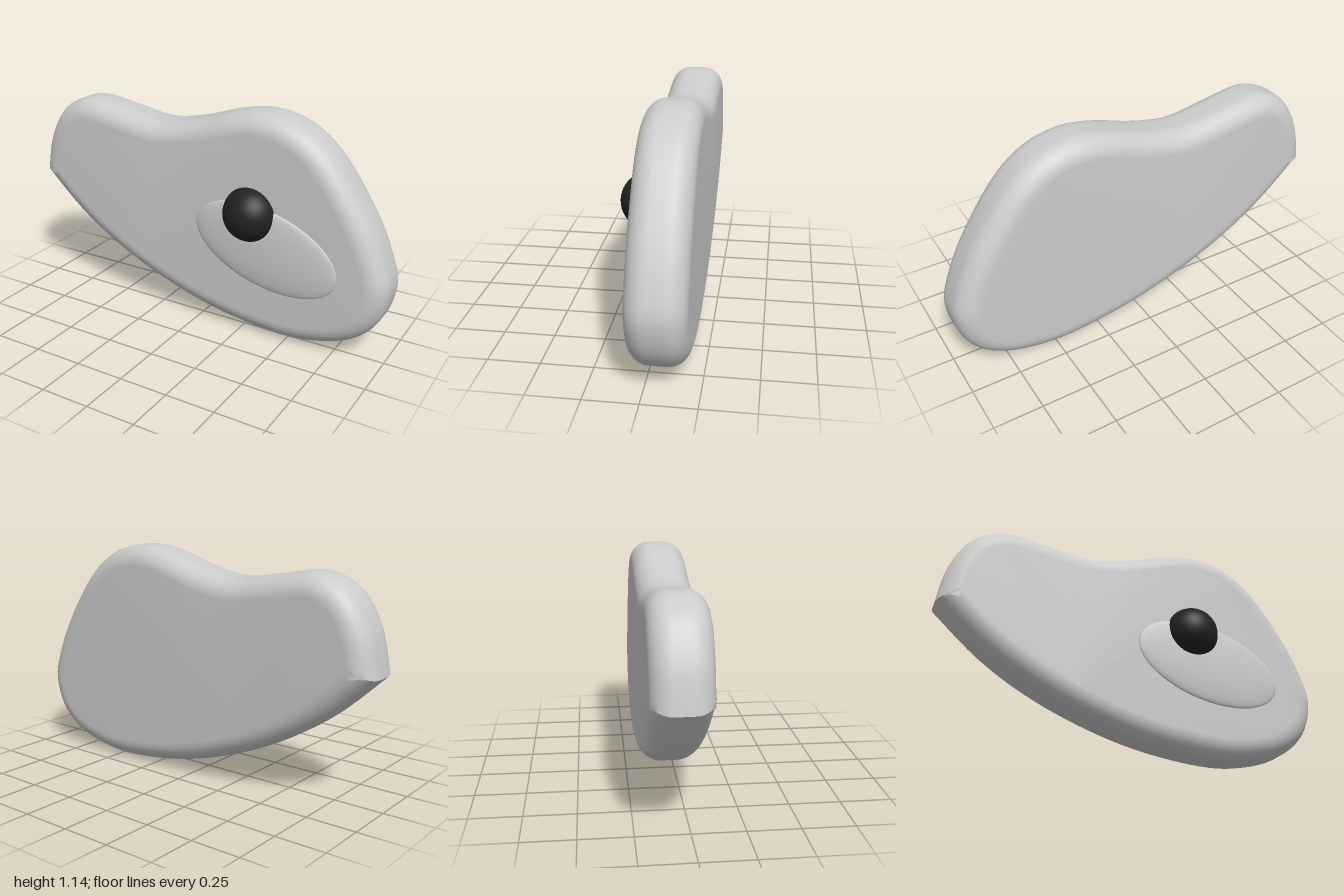
import * as THREE from 'three';
import { toCreasedNormals } from 'three/addons/utils/BufferGeometryUtils.js';

// Outline of the slab, clockwise from the pointed corner on the right side
const OUTLINE = [
  [-1, 0.64], [-0.96, 0.83], [-0.88, 0.98], [-0.78, 1.055], [-0.66, 1.08], [-0.45, 1.048],
  [-0.25, 1.02], [-0.05, 1.053], [0.17, 1.12], [0.34, 1.142], [0.52, 1.1], [0.69, 0.97],
  [0.87, 0.715], [0.97, 0.5], [0.998, 0.36], [0.95, 0.2], [0.83, 0.085], [0.65, 0.022],
  [0.43, 0.003], [0.1, 0.045], [-0.2, 0.13], [-0.5, 0.26], [-0.76, 0.425], [-1, 0.64],
];

export function createModel() {
  const group = new THREE.Group();
  const grey = new THREE.MeshStandardMaterial({ color: 0xcccccc });
  const black = new THREE.MeshStandardMaterial({ color: 0x222222 });

  const add = (name, geometry, material, x, y, z) => {
    const mesh = new THREE.Mesh(geometry, material);
    mesh.name = name;
    mesh.position.set(x, y, z);
    group.add(mesh);
    return mesh;
  };

  // Thick slab with rounded rims; the bevel is cut inside the outline
  const points = OUTLINE.map(([x, y]) => new THREE.Vector2(x, y));
  const shape = new THREE.Shape().moveTo(points[0].x, points[0].y).splineThru(points.slice(1));
  const bevel = 0.1;
  const slab = new THREE.ExtrudeGeometry(shape, {
    depth: 0.075,
    bevelThickness: bevel,
    bevelSize: bevel,
    bevelOffset: -bevel,
    bevelSegments: 10,
    curveSegments: 6,
  });
  add('body', toCreasedNormals(slab, 0.7), grey, 0, 0, -0.095);

  // Shallow tilted oval swelling on the front face
  const oval = add('ovalPad', new THREE.SphereGeometry(1, 48, 32), grey, 0.385, 0.487, 0.08);
  oval.scale.set(0.389, 0.203, 0.027);
  oval.rotation.z = -0.256;

  // Round dark ball half sunk into the front face
  add('ball', new THREE.SphereGeometry(0.138, 40, 28), black, 0.3, 0.65, 0.06);

  return group;
}
